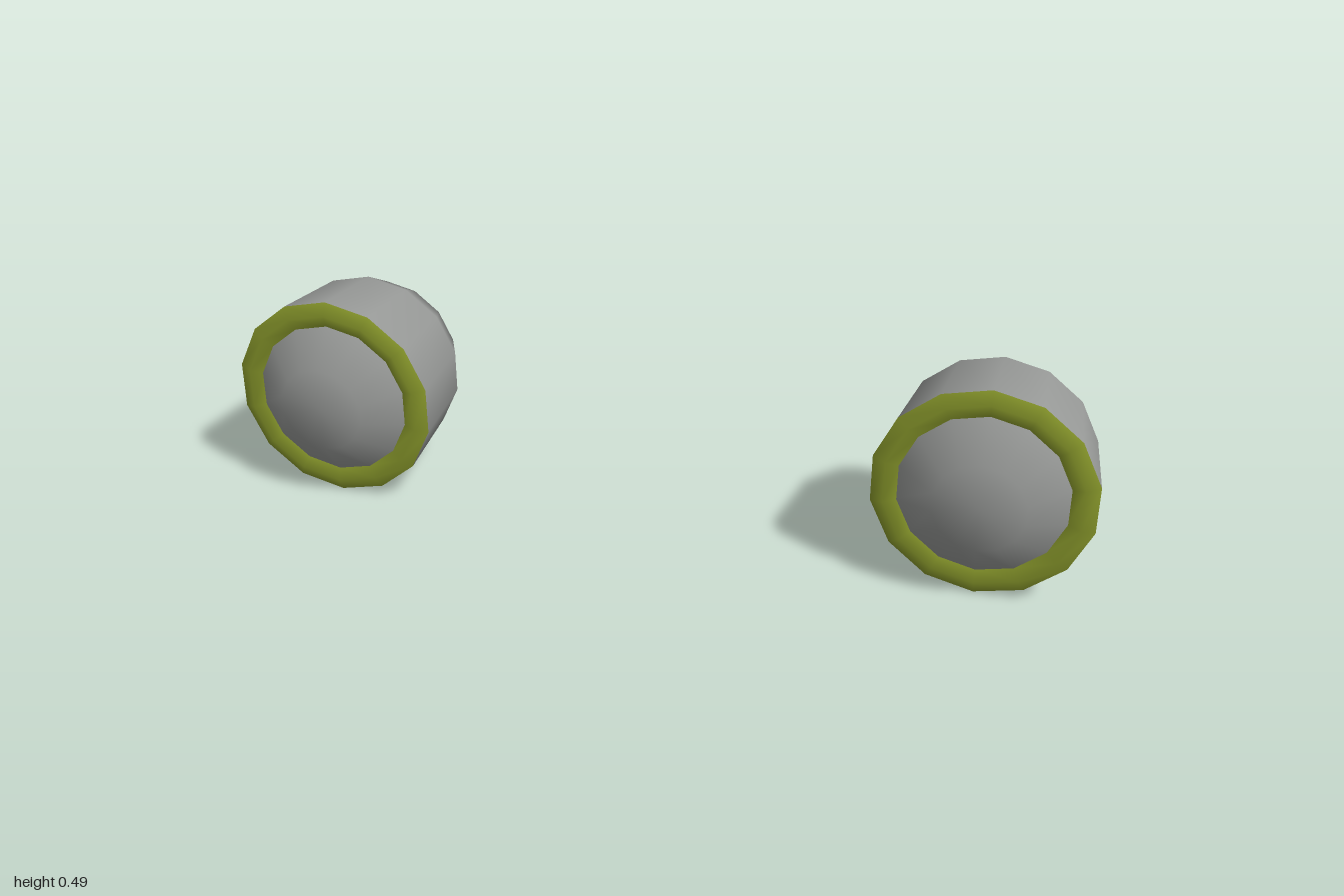
import * as THREE from 'three';

const SIDES = 14;

// Revolve [radius, z] pairs, listed from back to front, around the z axis
function revolve(name, profile, material) {
  const points = profile.map(([r, z]) => new THREE.Vector2(r, z));
  const geometry = new THREE.LatheGeometry(points, SIDES);
  geometry.rotateX(Math.PI / 2);
  const mesh = new THREE.Mesh(geometry, material);
  mesh.name = name;
  return mesh;
}

export function createModel() {
  const grey = new THREE.MeshStandardMaterial({ color: 0x999b99 });
  grey.name = 'grey';
  const olive = new THREE.MeshStandardMaterial({ color: 0x8a9a2c });
  olive.name = 'olive green';

  const model = new THREE.Group();
  model.name = 'lampPair';

  for (const [name, side] of [['leftLamp', 1], ['rightLamp', -1]]) {
    const lamp = new THREE.Group();
    lamp.name = name;
    lamp.add(
      // tapered shell with a shallow pointed back
      revolve('housing', [[0, -0.207], [0.175, -0.17], [0.222, -0.08], [0.245, 0.14]], grey),
      // bevelled ring around the lens
      revolve('rim', [[0.245, 0.14], [0.215, 0.155], [0.185, 0.144]], olive),
      // bulging lens with a flat front
      revolve('lens', [[0.192, 0.14], [0.102, 0.207], [0, 0.207]], grey),
    );
    lamp.position.set(side * 0.761, 0.245, 0);
    model.add(lamp);
  }
  return model;
}
